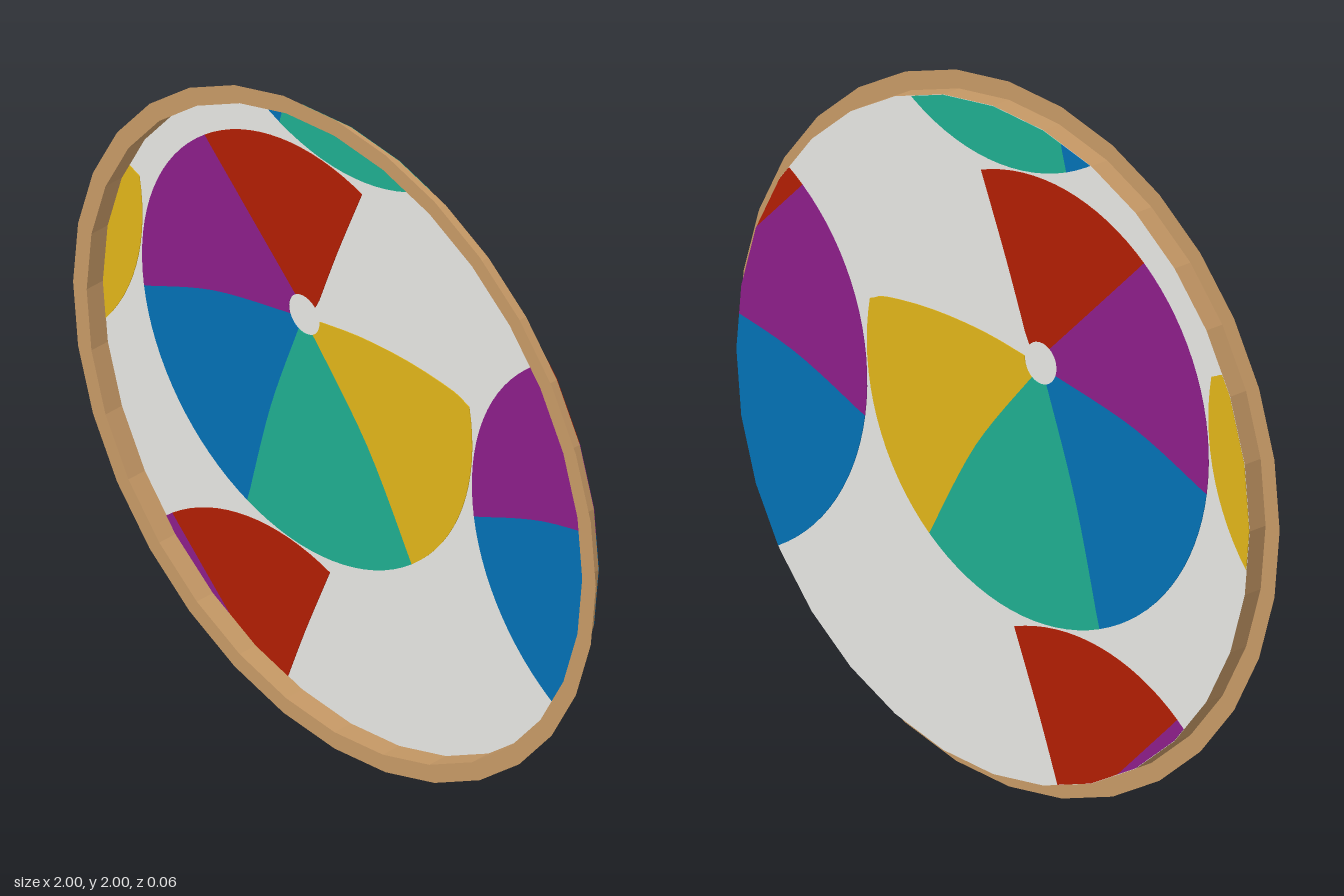
import * as THREE from 'three';

const SIDES = 32, INNER = 0.948, DEPTH = 0.06, DISC = 0.631;
const V = (x, y) => new THREE.Vector2(x, y);

function material(name, color, extra = {}) {
  const m = new THREE.MeshStandardMaterial({ color, ...extra });
  m.name = name;
  return m;
}

// Points along an arc, ends included
function arc(centre, radius, from, to, steps) {
  return Array.from({ length: steps + 1 }, (_, i) => {
    const a = from + (to - from) * i / steps;
    return V(centre.x + radius * Math.cos(a), centre.y + radius * Math.sin(a));
  });
}

// Keep the part of an outline that lies inside a convex counterclockwise polygon
function clip(points, polygon) {
  polygon.forEach((p, i) => {
    const edge = polygon[(i + 1) % polygon.length].clone().sub(p);
    const side = q => edge.cross(q.clone().sub(p));
    const kept = [];
    points.forEach((q, j) => {
      const r = points[(j + 1) % points.length], a = side(q), b = side(r);
      if (a >= 0) kept.push(q);
      if (a * b < 0) kept.push(q.clone().lerp(r, a / (a - b)));
    });
    points = kept;
  });
  return points;
}

// Curved seams of the printed disc, from its small hub to its rim
const seams = [
  [[0.037, 0.155], [0.115, 0.364], [0.209, 0.594]],
  [[-0.043, 0.155], [-0.209, 0.316], [-0.39, 0.492]],
  [[-0.064, 0.086], [-0.358, 0.016], [-0.62, -0.096]],
  [[-0.032, 0.053], [-0.139, -0.246], [-0.225, -0.578]],
  [[0.021, 0.059], [0.23, -0.193], [0.4, -0.487]],
  [[0.048, 0.112], [0.203, 0.139], [0.39, 0.15], [0.561, 0.139], [0.615, 0.118]],
].map(s => new THREE.SplineCurve(s.map(p => V(...p))).getPoints(12));

// One coloured segment between two neighbouring seams
function segmentOutline(a, b) {
  const hub = V(-0.011, 0.107);
  const between = (centre, p, q) => {
    const from = p.clone().sub(centre).angle();
    let to = q.clone().sub(centre).angle();
    if (to < from) to += Math.PI * 2;
    return [from, to];
  };
  const rim = arc(V(0, 0), DISC, ...between(V(0, 0), a.at(-1), b.at(-1)), 16);
  const inner = arc(hub, 0.059, ...between(hub, a[0], b[0]), 6).reverse();
  return [...a.slice(1, -1), ...rim, ...b.slice(1, -1).reverse(), ...inner];
}

export function createModel() {
  const group = new THREE.Group();
  const add = (name, geometry, mat, z) => {
    const mesh = new THREE.Mesh(geometry, mat);
    mesh.name = name;
    mesh.position.set(0, 1, z);
    group.add(mesh);
  };
  const wood = material('wood', 0xc59865, { side: THREE.DoubleSide, flatShading: true });
  const cloth = material('cloth', 0xe5e5e1, { side: THREE.DoubleSide });
  const colours = [
    ['red', 0xb01d02], ['purple', 0x8b1d88], ['blue', 0x0270b3],
    ['green', 0x1eac8f], ['yellow', 0xdfb318],
  ].map(([name, hex]) => material(name, hex));

  // Frame: a flat rim in front and an open wall running back to the cloth
  add('frameRim', new THREE.RingGeometry(INNER, 1, SIDES), wood, DEPTH / 2);
  const wall = new THREE.CylinderGeometry(INNER, INNER, DEPTH, SIDES, 1, true).rotateX(Math.PI / 2);
  add('frameWall', wall, wood, 0);

  // Cloth stretched across the back
  add('cloth', new THREE.CircleGeometry(INNER, SIDES), cloth, -DEPTH / 2);

  // Printed discs on a slightly turned grid, trimmed to the frame
  const border = arc(V(0, 0), INNER - 0.001, 0, Math.PI * 2, SIDES).slice(0, -1);
  for (const [i, j] of [[0, 0], [1, 0], [-1, 0], [0, 1], [0, -1]]) {
    const centre = V(-0.166 + 1.262 * i + 0.123 * j, 0.16 - 0.123 * i + 1.262 * j);
    colours.forEach((mat, k) => {
      const outline = segmentOutline(seams[k], seams[k + 1]).map(p => p.clone().add(centre));
      const points = clip(outline, border);
      if (points.length < 3) return;
      const plate = new THREE.ExtrudeGeometry(new THREE.Shape(points), { depth: 0.004, bevelEnabled: false });
      add(mat.name + 'Segment', plate, mat, -DEPTH / 2 - 0.002);
    });
  }
  return group;
}
